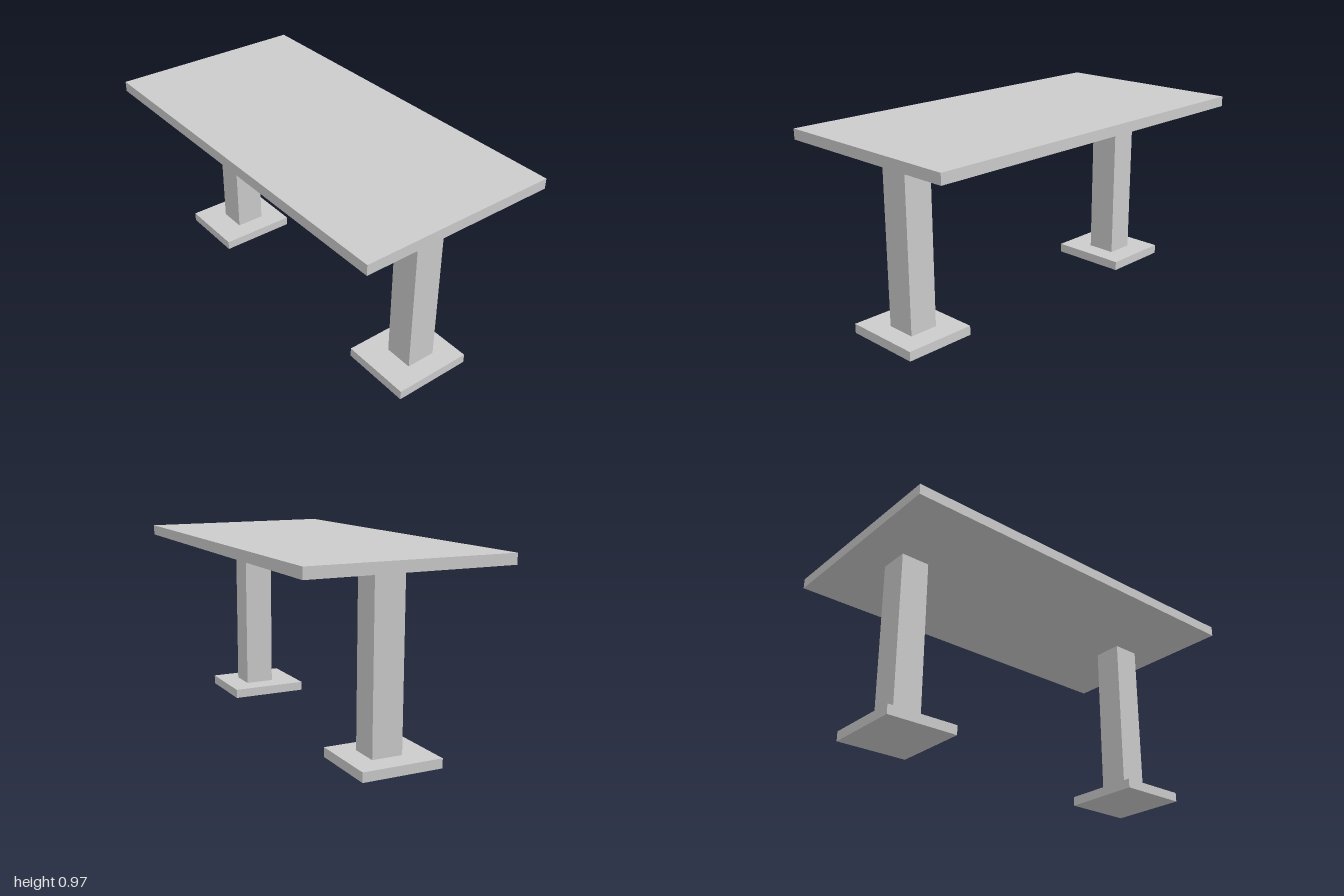
import * as THREE from 'three';

const material = new THREE.MeshStandardMaterial({ color: 0xcccccc, flatShading: true });

// Box given by its size, centre in x and z, and underside height
function slab(name, [w, h, d], x, bottom, z) {
  const mesh = new THREE.Mesh(new THREE.BoxGeometry(w, h, d), material);
  mesh.name = name;
  mesh.position.set(x, bottom + h / 2, z);
  return mesh;
}

export function createModel() {
  const table = new THREE.Group();
  table.name = 'table';

  const footHeight = 0.048;
  const topBottom = 0.915;

  table.add(slab('tabletop', [1.034, 0.053, 2], 0, topBottom, 0));

  // Two pedestals, each a square post on a slightly offset foot plate
  for (const [name, z] of [['front', 0.757], ['back', -0.719]]) {
    const pedestal = new THREE.Group();
    pedestal.name = `${name}Pedestal`;
    pedestal.add(
      slab(`${name}Post`, [0.156, topBottom - footHeight, 0.149], -0.002, footHeight, 0),
      slab(`${name}Foot`, [0.411, footHeight, 0.368], -0.016, 0, -0.007),
    );
    pedestal.position.z = z;
    table.add(pedestal);
  }

  return table;
}
